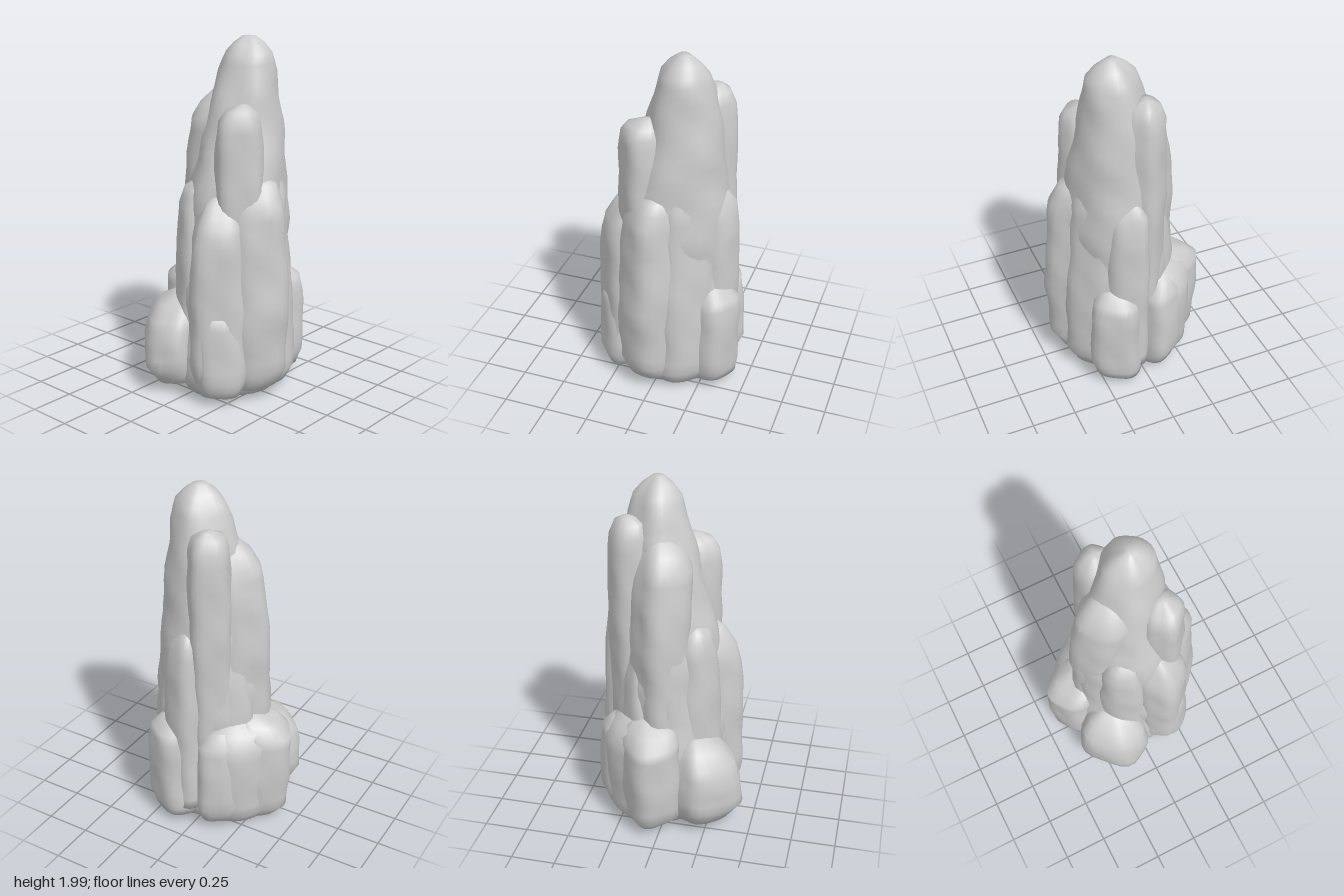
import * as THREE from 'three';

const SIDES = 28;
const DIAG = Math.PI / 4;

// Lofts one weathered stone column through stations [y, centreX, centreZ, radiusX, radiusZ].
function column(name, seed, turn, stations, material) {
  const rings = [];
  stations.forEach((s, i) => {
    const next = stations[i + 1];
    if (!next) return rings.push(s);
    const steps = Math.max(1, Math.round((next[0] - s[0]) / 0.06));
    for (let k = 0; k < steps; k++) rings.push(s.map((v, j) => THREE.MathUtils.lerp(v, next[j], k / steps)));
  });

  const pos = [], index = [];
  const ct = Math.cos(turn), st = Math.sin(turn);
  for (const [y, cx, cz, rx, rz] of rings) {
    for (let i = 0; i < SIDES; i++) {
      const a = (i / SIDES) * Math.PI * 2;
      // vertical fluting that drifts slowly with height, plus small chips
      const flute = 0.025 * Math.sin(3 * a + seed * 2.1 + y) + 0.03 * Math.sin(5 * a + seed * 3.7 - y * 1.5);
      const chip = 0.02 * Math.sin(y * 13 + 2 * a + seed) + 0.018 * Math.sin(y * 23 - 4 * a + seed * 5);
      const c = Math.cos(a), s = Math.sin(a);
      const r = (0.99 + flute + chip) * Math.pow(c ** 4 + s ** 4, -0.1); // slightly blocky outline
      const lx = c * rx * r, lz = s * rz * r;
      const lift = 0.06 * rx * Math.sin(2 * a + seed * 1.3);
      pos.push(cx + lx * ct - lz * st, Math.max(0, y + lift), cz + lx * st + lz * ct);
    }
  }
  for (let j = 0; j < rings.length - 1; j++) {
    for (let i = 0; i < SIDES; i++) {
      const a = j * SIDES + i, b = j * SIDES + ((i + 1) % SIDES);
      index.push(a, a + SIDES, b, b, a + SIDES, b + SIDES);
    }
  }
  // close both ends
  const low = rings[0], high = rings[rings.length - 1];
  const bottom = pos.length / 3, top = bottom + 1, last = (rings.length - 1) * SIDES;
  pos.push(low[1], low[0], low[2], high[1], high[0] + 0.005, high[2]);
  for (let i = 0; i < SIDES; i++) {
    const n = (i + 1) % SIDES;
    index.push(bottom, i, n, top, last + n, last + i);
  }
  const geo = new THREE.BufferGeometry();
  geo.setAttribute('position', new THREE.Float32BufferAttribute(pos, 3));
  geo.setIndex(index);
  geo.computeVertexNormals();
  const mesh = new THREE.Mesh(geo, material);
  mesh.name = name;
  return mesh;
}

export function createModel() {
  const group = new THREE.Group();
  group.name = 'rockPillar';
  const stone = new THREE.MeshStandardMaterial({ color: 0xcccccc, roughness: 0.9 });

  // name: [turn about the vertical, stations]
  const parts = {
    // tall middle spire
    coreSpire: [DIAG, [[0.02, 0.02, 0.02, 0.28, 0.28], [0.1, 0.02, 0.02, 0.32, 0.32], [0.6, 0.03, 0.05, 0.31, 0.31],
      [0.95, 0.045, 0.06, 0.29, 0.29], [1.2, 0.055, 0.065, 0.27, 0.27], [1.45, 0.08, 0.07, 0.23, 0.22],
      [1.65, 0.09, 0.08, 0.19, 0.185], [1.8, 0.1, 0.09, 0.16, 0.15], [1.9, 0.1, 0.1, 0.125, 0.125],
      [1.95, 0.1, 0.1, 0.085, 0.085], [1.99, 0.1, 0.1, 0.035, 0.035]]],
    // upper shoulders
    rightShoulder: [DIAG, [[0.1, 0.2, -0.03, 0.12, 0.11], [1.2, 0.23, -0.03, 0.125, 0.115], [1.55, 0.23, -0.03, 0.12, 0.11],
      [1.7, 0.23, -0.03, 0.11, 0.1], [1.77, 0.23, -0.03, 0.085, 0.075], [1.8, 0.24, -0.03, 0.03, 0.03]]],
    frontShoulder: [DIAG, [[0.1, -0.08, 0.2, 0.14, 0.12], [1.2, -0.1, 0.2, 0.135, 0.12], [1.45, -0.1, 0.2, 0.13, 0.11],
      [1.57, -0.1, 0.2, 0.115, 0.1], [1.62, -0.09, 0.2, 0.085, 0.08], [1.65, -0.07, 0.2, 0.03, 0.03]]],
    backShoulder: [DIAG, [[0.1, 0.03, -0.1, 0.16, 0.16], [1.05, 0.04, -0.11, 0.165, 0.16], [1.35, 0.04, -0.09, 0.16, 0.16],
      [1.55, 0.03, -0.06, 0.15, 0.15], [1.63, 0.04, -0.04, 0.12, 0.12], [1.7, 0.06, -0.02, 0.07, 0.07]]],
    // mid-height columns
    frontColumn: [DIAG, [[0.07, -0.02, 0.22, 0.16, 0.16], [0.17, -0.03, 0.24, 0.19, 0.19], [0.5, -0.03, 0.25, 0.2, 0.195],
      [0.8, -0.02, 0.24, 0.19, 0.19], [1.1, -0.02, 0.23, 0.17, 0.17], [1.22, -0.01, 0.21, 0.14, 0.14],
      [1.27, 0, 0.2, 0.08, 0.08]]],
    leftColumn: [DIAG, [[0.05, -0.22, 0.16, 0.12, 0.11], [0.2, -0.22, 0.17, 0.17, 0.135], [0.6, -0.22, 0.16, 0.165, 0.14],
      [0.92, -0.21, 0.15, 0.15, 0.14], [1.02, -0.2, 0.15, 0.13, 0.125], [1.13, -0.18, 0.14, 0.08, 0.08],
      [1.18, -0.16, 0.13, 0.03, 0.03]]],
    rightColumn: [0.4, [[0.1, 0.28, 0.09, 0.11, 0.13], [0.7, 0.29, 0.09, 0.11, 0.13], [1, 0.29, 0.08, 0.105, 0.12],
      [1.15, 0.28, 0.08, 0.09, 0.11], [1.25, 0.27, 0.08, 0.04, 0.05]]],
    frontRightColumn: [-0.7, [[0.04, 0.12, 0.19, 0.16, 0.14], [0.13, 0.14, 0.22, 0.18, 0.15], [0.45, 0.14, 0.22, 0.18, 0.15],
      [0.8, 0.13, 0.2, 0.17, 0.14], [1.15, 0.13, 0.18, 0.15, 0.13], [1.35, 0.12, 0.15, 0.12, 0.11]]],
    backLeftColumn: [DIAG, [[0.1, 0.16, -0.14, 0.12, 0.09], [0.7, 0.16, -0.14, 0.115, 0.085], [0.9, 0.16, -0.13, 0.09, 0.075],
      [1.08, 0.15, -0.12, 0.05, 0.05]]],
    backRightColumn: [DIAG, [[0.1, -0.15, -0.07, 0.13, 0.15], [0.8, -0.15, -0.06, 0.115, 0.14], [1.08, -0.14, -0.06, 0.105, 0.11],
      [1.18, -0.14, -0.05, 0.075, 0.08], [1.22, -0.13, -0.04, 0.03, 0.03]]],
    // boulders around the foot
    backBoulder: [DIAG, [[0.02, 0.13, -0.15, 0.18, 0.13], [0.1, 0.15, -0.17, 0.22, 0.16], [0.3, 0.15, -0.18, 0.23, 0.17],
      [0.55, 0.15, -0.18, 0.22, 0.165], [0.63, 0.14, -0.17, 0.19, 0.14], [0.68, 0.13, -0.15, 0.12, 0.09],
      [0.71, 0.12, -0.14, 0.04, 0.03]]],
    rearBoulder: [DIAG, [[0.03, 0.07, -0.22, 0.13, 0.13], [0.1, 0.06, -0.26, 0.16, 0.15], [0.3, 0.06, -0.28, 0.165, 0.155],
      [0.58, 0.06, -0.28, 0.155, 0.15], [0.64, 0.07, -0.24, 0.13, 0.12], [0.69, 0.09, -0.2, 0.06, 0.06]]],
    sideBoulder: [DIAG, [[0.05, 0.26, -0.11, 0.11, 0.1], [0.15, 0.28, -0.12, 0.13, 0.115], [0.4, 0.28, -0.12, 0.13, 0.115],
      [0.56, 0.27, -0.12, 0.12, 0.105], [0.63, 0.25, -0.12, 0.07, 0.07]]],
    backRightBoulder: [DIAG, [[0.06, -0.22, -0.16, 0.12, 0.17], [0.16, -0.25, -0.18, 0.15, 0.21], [0.32, -0.25, -0.18, 0.15, 0.2],
      [0.43, -0.23, -0.17, 0.14, 0.18], [0.51, -0.2, -0.16, 0.11, 0.13], [0.56, -0.17, -0.14, 0.05, 0.06]]],
    rightBoulder: [0.5, [[0.06, 0.28, 0.14, 0.14, 0.14], [0.15, 0.285, 0.155, 0.15, 0.155], [0.5, 0.29, 0.155, 0.15, 0.15],
      [0.6, 0.29, 0.15, 0.14, 0.135], [0.66, 0.27, 0.14, 0.09, 0.09], [0.7, 0.25, 0.13, 0.03, 0.03]]],
    frontLeftBoulder: [DIAG, [[0.06, -0.24, 0.2, 0.12, 0.09], [0.15, -0.25, 0.21, 0.145, 0.105], [0.4, -0.25, 0.2, 0.14, 0.1],
      [0.52, -0.25, 0.19, 0.11, 0.09], [0.58, -0.24, 0.18, 0.04, 0.04]]],
  };
  Object.entries(parts).forEach(([name, [turn, stations]], i) => group.add(column(name, i + 1, turn, stations, stone)));
  return group;
}
